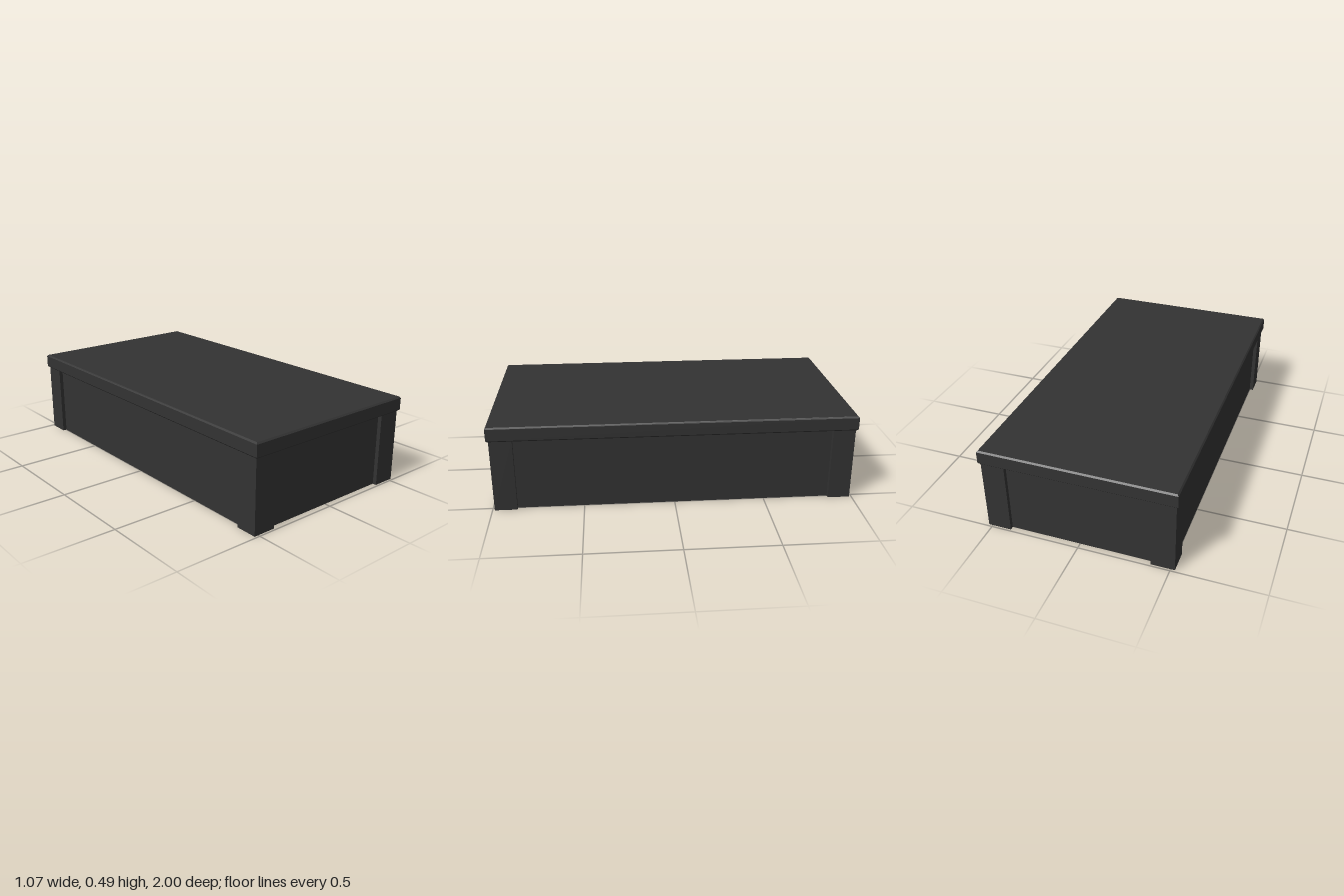
import * as THREE from 'three';

const material = new THREE.MeshStandardMaterial({ color: 0x333333, side: THREE.DoubleSide });

// Rectangle outline, listed so that lofted walls face outward
const rectangle = (x, z) => [[-x, z], [x, z], [x, -z], [-x, -z]];

// Flat-faced walls between stacked outlines: [{ y, outline }]
function loft(levels) {
  const positions = [];
  for (let l = 0; l < levels.length - 1; l++) {
    const low = levels[l], high = levels[l + 1], n = low.outline.length;
    for (let i = 0; i < n; i++) {
      const j = (i + 1) % n;
      const at = (level, k) => [level.outline[k][0], level.y, level.outline[k][1]];
      const a = at(low, i), b = at(low, j), c = at(high, j), d = at(high, i);
      positions.push(...a, ...b, ...c, ...a, ...c, ...d);
    }
  }
  const geometry = new THREE.BufferGeometry();
  geometry.setAttribute('position', new THREE.Float32BufferAttribute(positions, 3));
  geometry.computeVertexNormals();
  return geometry;
}

export function createModel() {
  const model = new THREE.Group();
  model.name = 'hollowPlinth';
  const add = (name, geometry, y = 0) => {
    const mesh = new THREE.Mesh(geometry, material);
    mesh.name = name;
    mesh.position.y = y;
    model.add(mesh);
  };

  const X = 0.523, Z = 0.988;        // outer faces of the corner posts
  const postX = 0.393, postZ = 0.865; // where the posts end
  const recess = 0.022;               // panels set back from the posts
  const lidBottom = 0.408, lidTop = 0.49, bevel = 0.008;
  const lidX = 0.533, lidZ = 1;

  // Skirt: corner posts joined by recessed panels, as one folded sheet
  const px = X - recess, pz = Z - recess;
  const half = [
    [-X, Z], [-postX, Z], [-postX, pz], [postX, pz], [postX, Z],
    [X, Z], [X, postZ], [px, postZ], [px, -postZ], [X, -postZ],
  ];
  const outline = [...half, ...half.map(([x, z]) => [-x, -z])];
  add('skirt', loft([{ y: 0, outline }, { y: lidBottom, outline }]));

  // Lid rim with bevelled edges
  const inner = rectangle(lidX - bevel, lidZ - bevel);
  const outer = rectangle(lidX, lidZ);
  add('lidRim', loft([
    { y: lidBottom, outline: inner },
    { y: lidBottom + bevel, outline: outer },
    { y: lidTop - bevel, outline: outer },
    { y: lidTop, outline: inner },
  ]));

  // Lid top, open to the hollow below
  const top = new THREE.PlaneGeometry(2 * (lidX - bevel), 2 * (lidZ - bevel));
  add('lidTop', top.rotateX(-Math.PI / 2), lidTop);

  // Ledge under the lid, between its rim and the skirt
  const toPoints = (list) => list.map(([x, z]) => new THREE.Vector2(x, z));
  const ledge = new THREE.Shape(toPoints(inner));
  ledge.holes.push(new THREE.Path(toPoints(outline)));
  add('lidLedge', new THREE.ShapeGeometry(ledge).rotateX(Math.PI / 2), lidBottom);

  return model;
}
